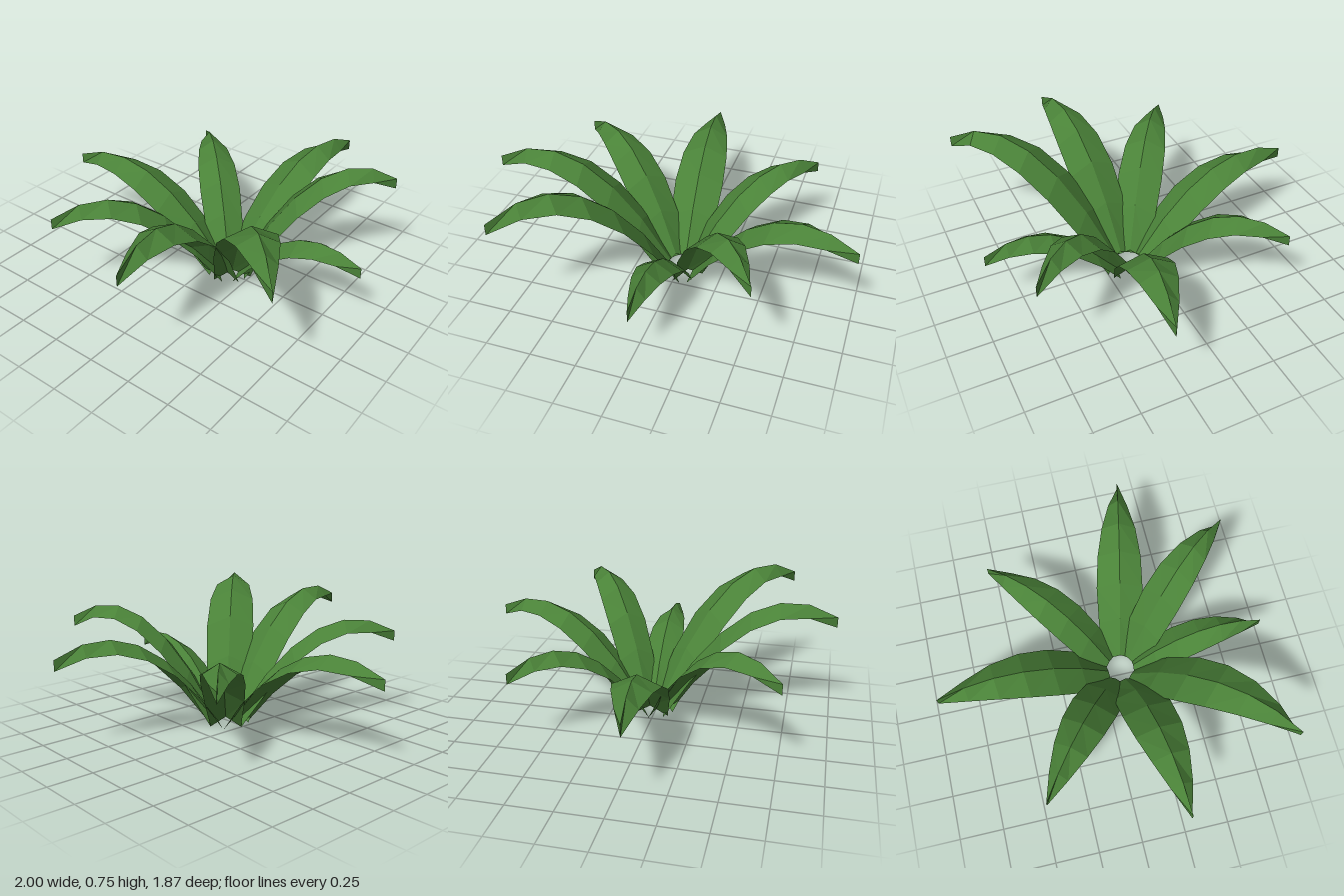
import * as THREE from 'three';

const SEGMENTS = 6;
const BASE_RADIUS = 0.077; // open ring in the middle of the plant
const FOLD = 0.06;         // height of the midrib above the leaf edges

// One arching leaf along +x: a ridged strip that swells, then tapers to a point.
function leafGeometry(length, lift, droop) {
  const positions = [];
  const index = [];
  for (let i = 0; i <= SEGMENTS; i++) {
    const u = i / SEGMENTS;
    const x = BASE_RADIUS + length * u;
    const y = lift * (u - droop * u * u);
    const swell = Math.max(0, Math.sin(Math.PI * (0.25 + 0.75 * u)));
    const half = 0.145 * length * Math.pow(swell, 0.9);
    positions.push(x, y, -half, x, y + FOLD, 0, x, y, half);
    if (i === SEGMENTS) continue;
    for (const side of [0, 1]) {
      const a = i * 3 + side;
      index.push(a, a + 1, a + 3, a + 1, a + 4, a + 3);
    }
  }
  const indexed = new THREE.BufferGeometry();
  indexed.setAttribute('position', new THREE.Float32BufferAttribute(positions, 3));
  indexed.setIndex(index);
  const geometry = indexed.toNonIndexed();
  geometry.computeVertexNormals();
  return geometry;
}

export function createModel() {
  const group = new THREE.Group();
  group.name = 'leafyPlant';
  const green = new THREE.MeshStandardMaterial({
    color: 0x4a8238, flatShading: true, side: THREE.DoubleSide,
  });
  green.name = 'leaf green';

  // Name, tip x, tip z, lift of the arch, droop of the tip
  const leaves = [
    ['leftLeaf', 1.0, 0.323, 1.43, 0.687],
    ['frontLeftLeaf', 0.58, 0.828, 1.66, 0.673],
    ['frontLeaf', 0.017, 0.933, 1.04, 0.695],
    ['frontRightLeaf', -0.725, 0.872, 1.88, 0.675],
    ['rightLeaf', -1.0, 0.227, 1.74, 0.673],
    ['backRightLeaf', -0.755, -0.468, 1.48, 0.685],
    ['backLeaf', -0.068, -0.933, 1.32, 0.692],
    ['backLeftLeaf', 0.648, -0.528, 1.3, 0.692],
  ];
  const cx = 0.025, cz = 0.12; // root of the plant
  for (const [name, tipX, tipZ, lift, droop] of leaves) {
    const dx = tipX - cx, dz = tipZ - cz;
    const length = Math.hypot(dx, dz) - BASE_RADIUS;
    const leaf = new THREE.Mesh(leafGeometry(length, lift, droop), green);
    leaf.name = name;
    leaf.position.set(cx, 0, cz);
    leaf.rotation.y = Math.atan2(-dz, dx);
    group.add(leaf);
  }
  return group;
}
